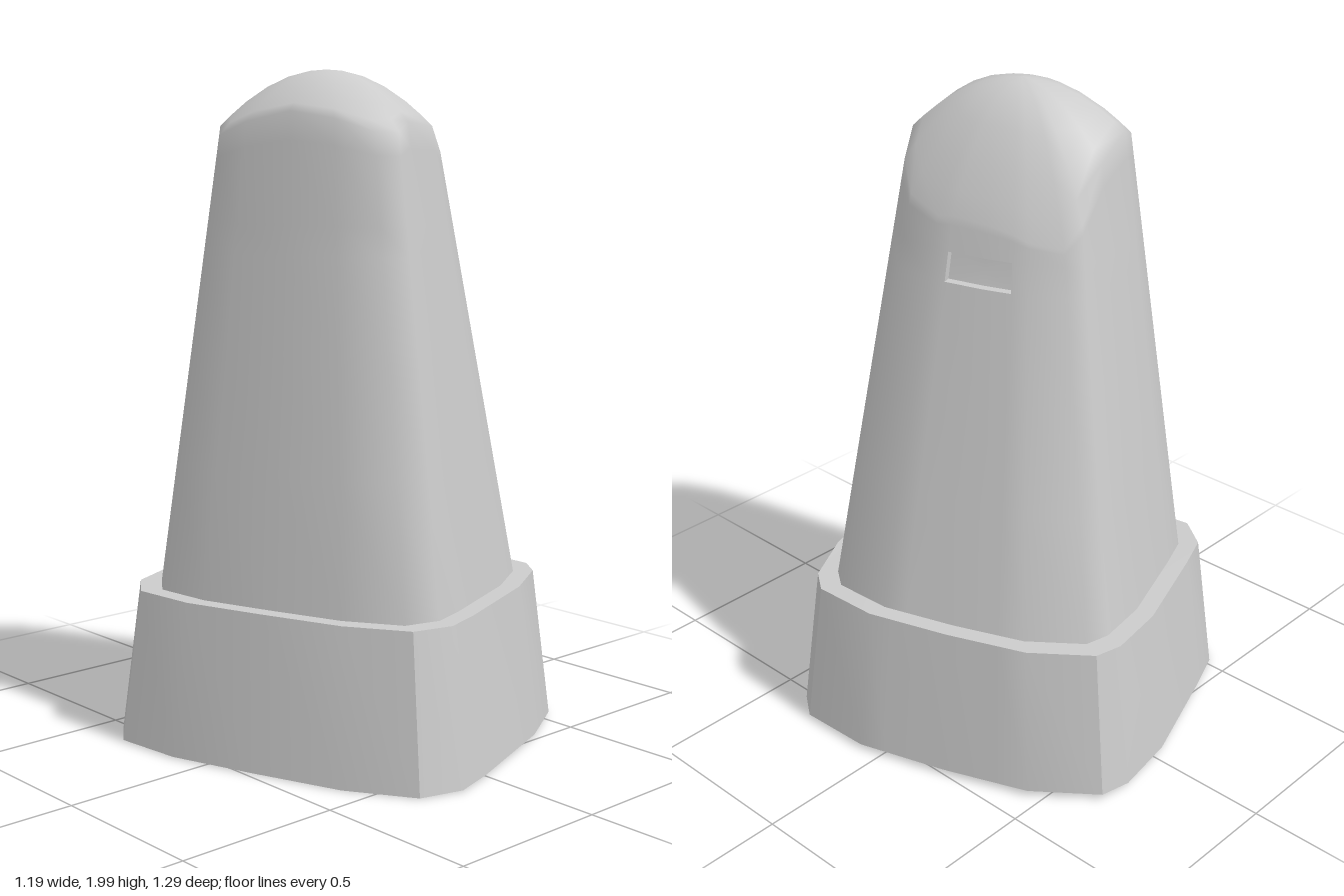
import * as THREE from 'three';
import { toCreasedNormals } from 'three/addons/utils/BufferGeometryUtils.js';

const material = new THREE.MeshStandardMaterial({ color: 0xcccccc, side: THREE.DoubleSide });

// Plan outlines as [x, z], seen from above: foot of the base and shoulder of the tower
const foot = [
  [0.165, -0.65], [0.26, -0.63], [0.4, -0.455], [0.5, -0.2], [0.585, 0.07], [0.592, 0.3],
  [0.535, 0.38], [0.35, 0.485], [0, 0.61], [-0.13, 0.645], [-0.26, 0.605], [-0.38, 0.415],
  [-0.48, 0.15], [-0.57, -0.11], [-0.595, -0.325], [-0.515, -0.435], [-0.38, -0.49], [-0.04, -0.615],
];
const shoulder = [
  [0.03, -0.31], [0.08, -0.29], [0.13, -0.2], [0.17, -0.08], [0.21, 0.07], [0.205, 0.18],
  [0.16, 0.25], [0.09, 0.285], [-0.05, 0.33], [-0.1, 0.345], [-0.16, 0.31], [-0.22, 0.21],
  [-0.27, 0.08], [-0.315, -0.06], [-0.33, -0.16], [-0.285, -0.215], [-0.22, -0.245], [-0.07, -0.29],
];

// Add columns at both ends of the slot; it then spans columns 3 to 5
const mix = (a, b, k) => a.map((v, i) => v + (b[i] - v) * k);
for (const r of [foot, shoulder]) {
  r.splice(4, 0, mix(r[3], r[4], 0.69));
  r.splice(3, 0, mix(r[2], r[3], 0.35));
}

// Domed roof: a ridge along v, falling more steeply on the left side
const PEAK = [-0.08, 0.02];
const U = [0.944, -0.33];
function roofHeight(x, z) {
  const dx = x - PEAK[0], dz = z - PEAK[1];
  const u = dx * U[0] + dz * U[1];
  const v = -dx * U[1] + dz * U[0];
  return 2 - u * u * (u > 0 ? 4.8 : 3) - 1.45 * v * v;
}

// Skin a stack of closed rings of [x, y, z]
function loft(rings, skip = () => false) {
  const n = rings[0].length, index = [];
  for (let r = 0; r < rings.length - 1; r++) {
    for (let i = 0; i < n; i++) {
      if (skip(r, i)) continue;
      const a = r * n + i, b = r * n + (i + 1) % n;
      index.push(a, a + n, b + n, a, b + n, b);
    }
  }
  const geometry = new THREE.BufferGeometry();
  geometry.setAttribute('position', new THREE.Float32BufferAttribute(rings.flat(2), 3));
  geometry.setIndex(index);
  geometry.computeVertexNormals();
  return geometry;
}

function addPart(group, name, geometry) {
  const mesh = new THREE.Mesh(geometry, material);
  mesh.name = name;
  group.add(mesh);
}

export function createModel() {
  const group = new THREE.Group();
  group.name = 'taperedCover';

  // Hollow base skirt with a ledge, both rims slightly tilted
  const baseRing = (s, y) => foot.map(([x, z]) => [x * s, y + 0.012 * x - 0.009 * z, z * s]);
  const ledge = baseRing(0.815, 0.473);
  addPart(group, 'baseSkirt',
    toCreasedNormals(loft([baseRing(1, 0.014), baseRing(0.91, 0.473), ledge]), 0.6));

  // Tower wall: level rows up to the slot, then up to the curved shoulder
  const top = shoulder.map(([x, z]) => [x, roofHeight(x, z), z]);
  const row = (y) => ledge.map((p, i) => mix(p, top[i], (y - p[1]) / (top[i][1] - p[1])));
  const slotLow = row(1.475), slotHigh = row(1.56);
  const rings = [ledge, row(0.85), row(1.2), slotLow, slotHigh,
    slotHigh.map((p, i) => mix(p, top[i], 0.75)), top];

  // Roof rings shrink towards the peak
  for (const s of [0.9, 0.75, 0.55, 0.35, 0.15, 0]) {
    rings.push(shoulder.map((p) => {
      const [x, z] = mix(PEAK, p, s);
      return [x, roofHeight(x, z), z];
    }));
  }
  addPart(group, 'tower', loft(rings, (r, i) => r === 3 && (i === 3 || i === 4)));

  // Shallow recess behind the slot: side walls and a floor
  const rim = [3, 4, 5].map((i) => slotLow[i]).concat([5, 4, 3].map((i) => slotHigh[i]));
  const floor = rim.map(([x, y, z]) => [x - 0.025 * U[0], y, z - 0.025 * U[1]]);
  const mid = [0, 1, 2].map((k) => floor.reduce((sum, p) => sum + p[k] / 6, 0));
  addPart(group, 'slotRecess',
    toCreasedNormals(loft([rim, floor, floor.map(() => mid)].map((r) => r.slice().reverse())), 0.5));

  return group;
}
